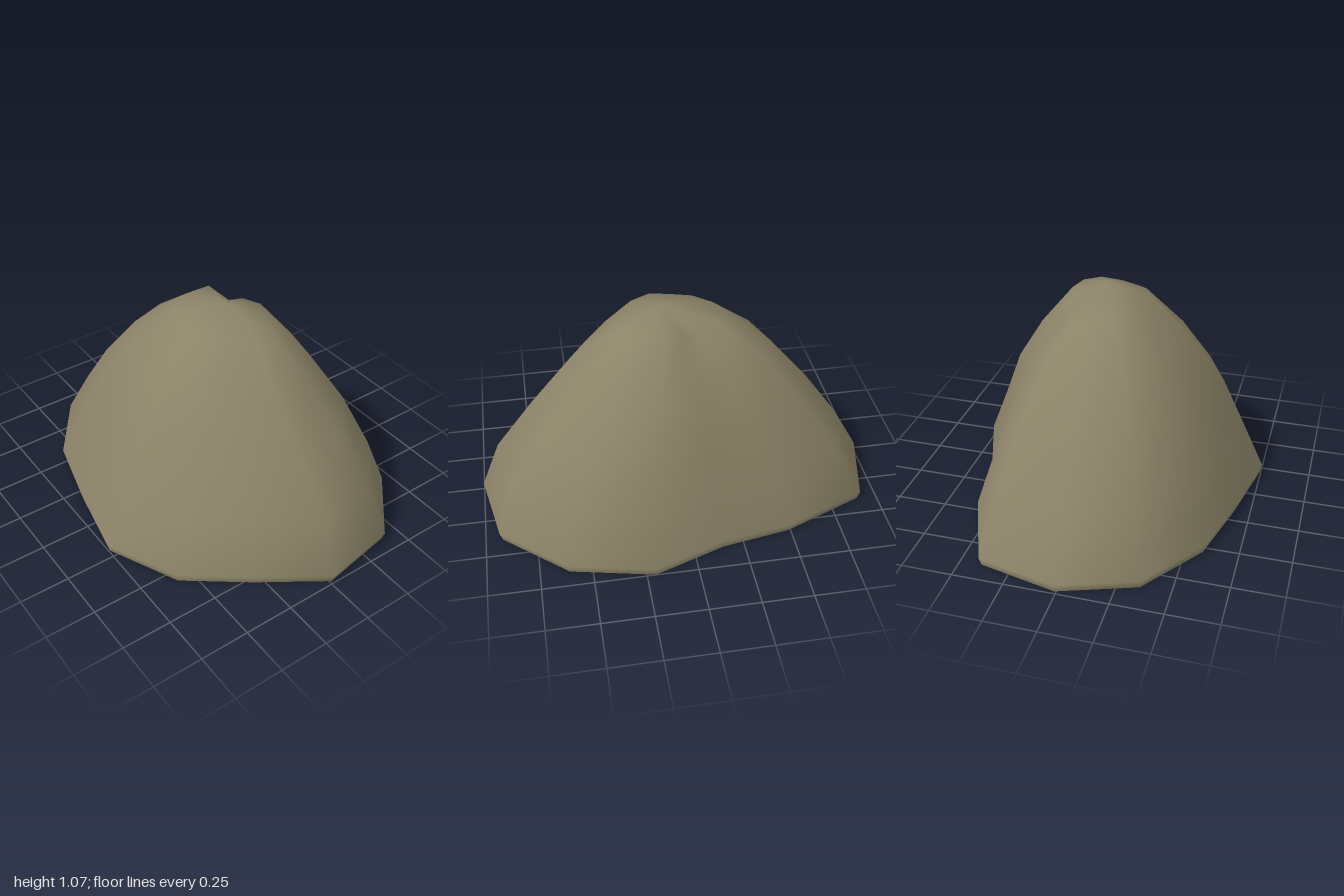
import * as THREE from 'three';

// Footprint at the widest level, counter-clockwise from above: [x, z]
const outline = [
  [1, -0.01], [0.93, -0.4], [0.62, -0.67], [0.21, -0.76], [-0.15, -0.63],
  [-0.5, -0.57], [-0.91, -0.4], [-1, -0.01], [-0.87, 0.36], [-0.54, 0.59],
  [-0.18, 0.68], [0.21, 0.755], [0.57, 0.59], [0.79, 0.3],
];

// Levels going up: height, x scale, z scale, x centre, z centre
const levels = [
  [0, 0.985, 0.985, 0, 0],
  [0.045, 1, 1, 0, 0],
  [0.3, 0.88, 0.855, 0.022, -0.01],
  [0.55, 0.695, 0.722, 0.015, -0.012],
  [0.79, 0.495, 0.515, 0.015, -0.02],
  [0.975, 0.27, 0.26, 0.035, -0.04],
];
const apex = [0.07, 1.065, -0.05];
const notchColumn = 5;

function ringPoint(level, column) {
  const [y, sx, sz, cx, cz] = levels[level];
  const [x, z] = outline[column];
  let height = y;
  if (level === levels.length - 1) {
    // the shoulder rises toward front and back, with a small notch behind
    height += 0.03 * Math.abs(z) / 0.76;
    if (column === notchColumn) height -= 0.05;
  }
  return [cx + x * sx, height, cz + z * sz];
}

function makeGeometry(positions, index) {
  const g = new THREE.BufferGeometry();
  g.setAttribute('position', new THREE.Float32BufferAttribute(positions.flat(), 3));
  g.setIndex(index);
  g.computeVertexNormals();
  return g;
}

export function createModel() {
  const group = new THREE.Group();
  group.name = 'boulder';
  const stone = new THREE.MeshStandardMaterial({ color: 0x8c8468 });
  stone.name = 'stone';
  const n = outline.length;

  // Smooth rock body: stacked rings closed by a fan at the peak
  const points = [];
  const faces = [];
  levels.forEach((_, l) => outline.forEach((__, i) => points.push(ringPoint(l, i))));
  points.push(apex);
  const top = levels.length - 1;
  for (let i = 0; i < n; i++) {
    const j = (i + 1) % n;
    for (let l = 0; l < top; l++) {
      const a = l * n + i, b = l * n + j;
      faces.push(a, b, b + n, a, b + n, a + n);
    }
    faces.push(top * n + i, top * n + j, points.length - 1);
  }
  const body = new THREE.Mesh(makeGeometry(points, faces), stone);
  body.name = 'rockBody';

  // Flat underside
  const rim = outline.map((_, i) => ringPoint(0, i));
  const fan = [];
  for (let i = 0; i < n; i++) fan.push(n, (i + 1) % n, i);
  const underside = new THREE.Mesh(makeGeometry([...rim, [0, 0, 0]], fan), stone);
  underside.name = 'underside';

  group.add(body, underside);
  return group;
}
